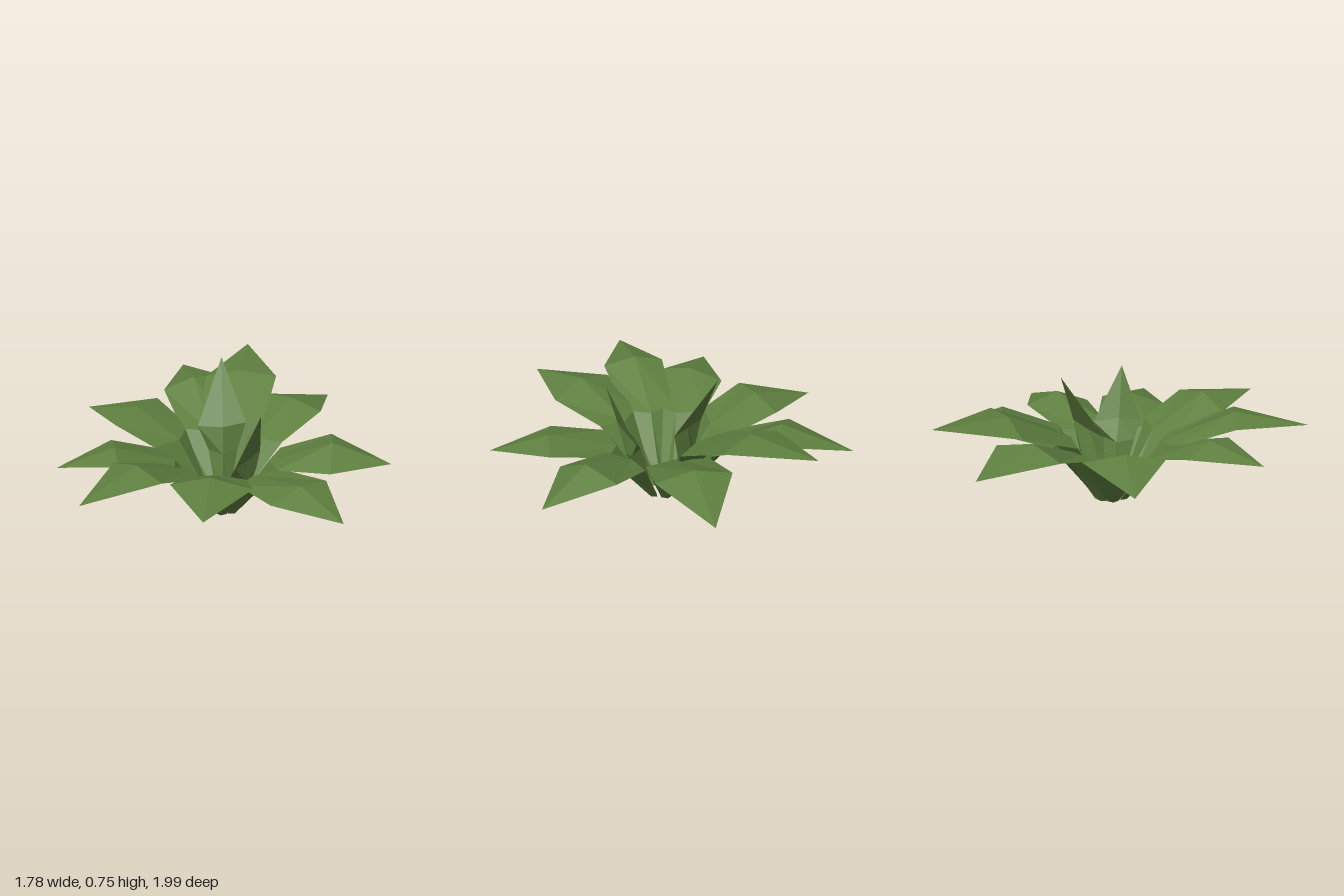
import * as THREE from 'three';

const leafGreen = new THREE.MeshStandardMaterial({ color: 0x5f8040, side: THREE.DoubleSide, flatShading: true });
leafGreen.name = 'leafGreen';

// centre of the rosette on the ground
const CX = 0, CZ = -0.05;

// Each leaf: tip, ridge and the two shoulder corners (a, b) as x, y, z;
// neck = [inner radius, half width, height]
const OUTER = [
  { tip: [-0.09, 0.43, 0.99], ridge: [-0.06, 0.5, 0.6], a: [-0.22, 0.46, 0.59], b: [0.12, 0.46, 0.62], neck: [0.27, 0.14, 0.32] },
  { tip: [0.48, 0.43, 0.77], ridge: [0.3, 0.485, 0.47], a: [0.12, 0.43, 0.56], b: [0.48, 0.43, 0.36], neck: [0.27, 0.15, 0.32] },
  { tip: [0.89, 0.29, 0.18], ridge: [0.59, 0.37, 0.1], a: [0.53, 0.32, 0.28], b: [0.63, 0.34, -0.08], neck: [0.25, 0.15, 0.28] },
  { tip: [0.78, 0.31, -0.5], ridge: [0.51, 0.42, -0.34], a: [0.6, 0.33, -0.17], b: [0.4, 0.38, -0.51], neck: [0.25, 0.14, 0.29] },
  { tip: [0.08, 0.365, -1.0], ridge: [0.05, 0.465, -0.64], a: [0.25, 0.43, -0.64], b: [-0.14, 0.43, -0.67], neck: [0.25, 0.17, 0.32] },
  { tip: [-0.46, 0.585, -0.94], ridge: [-0.27, 0.575, -0.58], a: [-0.08, 0.55, -0.68], b: [-0.45, 0.52, -0.5], neck: [0.24, 0.18, 0.38] },
  { tip: [-0.78, 0.45, -0.71], ridge: [-0.5, 0.52, -0.45], a: [-0.44, 0.49, -0.63], b: [-0.61, 0.46, -0.31], neck: [0.27, 0.15, 0.33] },
  { tip: [-0.89, 0.4, 0.03], ridge: [-0.55, 0.475, 0], a: [-0.58, 0.45, -0.21], b: [-0.54, 0.44, 0.2], neck: [0.28, 0.17, 0.33] },
  { tip: [-0.52, 0.385, 0.69], ridge: [-0.34, 0.455, 0.44], a: [-0.48, 0.41, 0.31], b: [-0.22, 0.42, 0.55], neck: [0.27, 0.15, 0.32] },
];
const INNER = [
  { tip: [-0.2, 0.755, -0.31], ridge: [-0.08, 0.42, -0.16], a: [0.01, 0.44, -0.25], b: [-0.2, 0.42, -0.09], neck: [0.1, 0.08, 0.26] },
  { tip: [0.29, 0.645, 0.02], ridge: [0.18, 0.38, 0], a: [0.2, 0.36, 0.12], b: [0.18, 0.36, -0.14], neck: [0.12, 0.09, 0.25] },
];

function leafGeometry({ tip, ridge, a, b, neck: [r, w, h] }) {
  const len = Math.hypot(ridge[0] - CX, ridge[2] - CZ);
  const ux = (ridge[0] - CX) / len, uz = (ridge[2] - CZ) / len;
  // point at a distance out, sideways offset and height in the leaf's own frame
  const at = (out, side, y) => [CX + ux * out - uz * side, y, CZ + uz * out + ux * side];
  const underside = [(a[0] + b[0]) / 2, (a[1] + b[1]) / 2 - 0.005, (a[2] + b[2]) / 2];

  // cross-sections: side a, upper ridge, side b, underside keel
  const sections = [
    [at(0.08, 0.03, 0), at(0.055, 0, 0), at(0.08, -0.03, 0), at(0.1, 0, 0)],
    [at(r + 0.05, w, h + 0.02), at(r, 0, h + 0.01), at(r + 0.05, -w, h + 0.02), at(r + 0.08, 0, h - 0.02)],
    [a, ridge, b, underside],
  ];

  const pos = [];
  const tri = (p, q, s) => pos.push(...p, ...q, ...s);
  for (let j = 0; j < 4; j++) {
    const k = (j + 1) % 4;
    for (let i = 0; i < 2; i++) {
      const s = sections[i], n = sections[i + 1];
      tri(s[j], n[j], n[k]);
      tri(s[j], n[k], s[k]);
    }
    tri(sections[2][j], tip, sections[2][k]);
  }
  // foot cap
  const f = sections[0];
  tri(f[0], f[1], f[2]);
  tri(f[0], f[2], f[3]);

  const geo = new THREE.BufferGeometry();
  geo.setAttribute('position', new THREE.Float32BufferAttribute(pos, 3));
  geo.computeVertexNormals();
  return geo;
}

export function createModel() {
  const plant = new THREE.Group();
  plant.name = 'rosettePlant';
  for (const [name, leaves] of [['outerLeaf', OUTER], ['innerLeaf', INNER]]) {
    leaves.forEach((leaf, i) => {
      const mesh = new THREE.Mesh(leafGeometry(leaf), leafGreen);
      mesh.name = `${name}${i + 1}`;
      plant.add(mesh);
    });
  }
  return plant;
}
